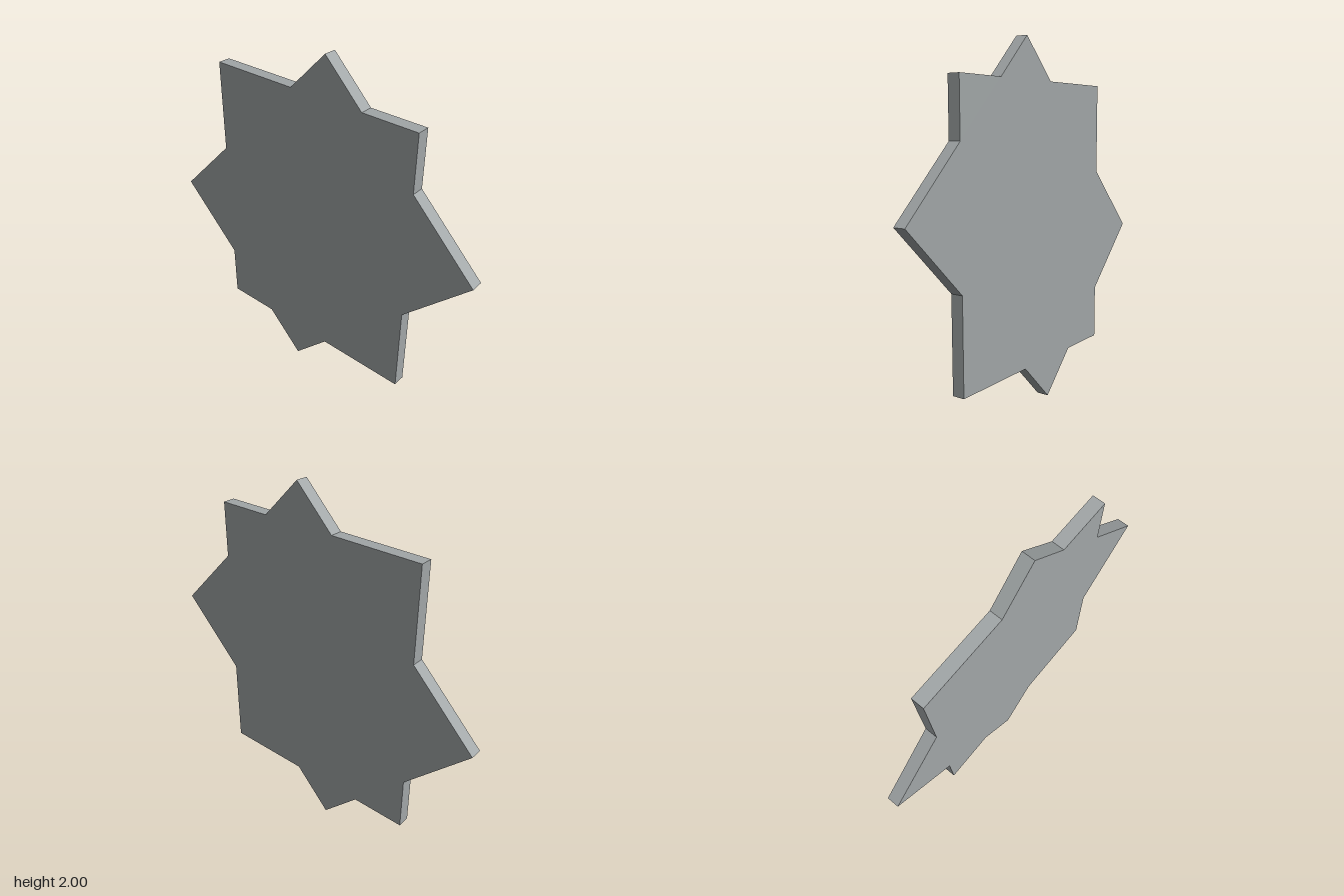
import * as THREE from 'three';

export function createModel() {
  const group = new THREE.Group();
  group.name = 'starPlate';
  const grey = new THREE.MeshStandardMaterial({ color: 0xa1a6a7 });
  grey.name = 'stone grey';

  // Half of the outline as [z, y from the centre]; the other half is its half-turn
  const half = [
    [-0.12, 0.777], [0.1, 1], [0.322, 0.777], [0.635, 0.777],
    [0.635, 0.466], [1, 0.102], [0.635, -0.263], [0.635, -0.777],
  ];
  const outline = [...half, ...half.map(([z, y]) => [-z, -y])];
  const shape = new THREE.Shape(outline.map(([z, y]) => new THREE.Vector2(-z, y + 1)));

  // Thin slab, turned so its broad faces look along x
  const depth = 0.07;
  const geometry = new THREE.ExtrudeGeometry(shape, { depth, bevelEnabled: false });
  geometry.translate(0, 0, -depth / 2);
  geometry.rotateY(Math.PI / 2);

  const plate = new THREE.Mesh(geometry, grey);
  plate.name = 'eightPointedPlate';
  group.add(plate);
  return group;
}
